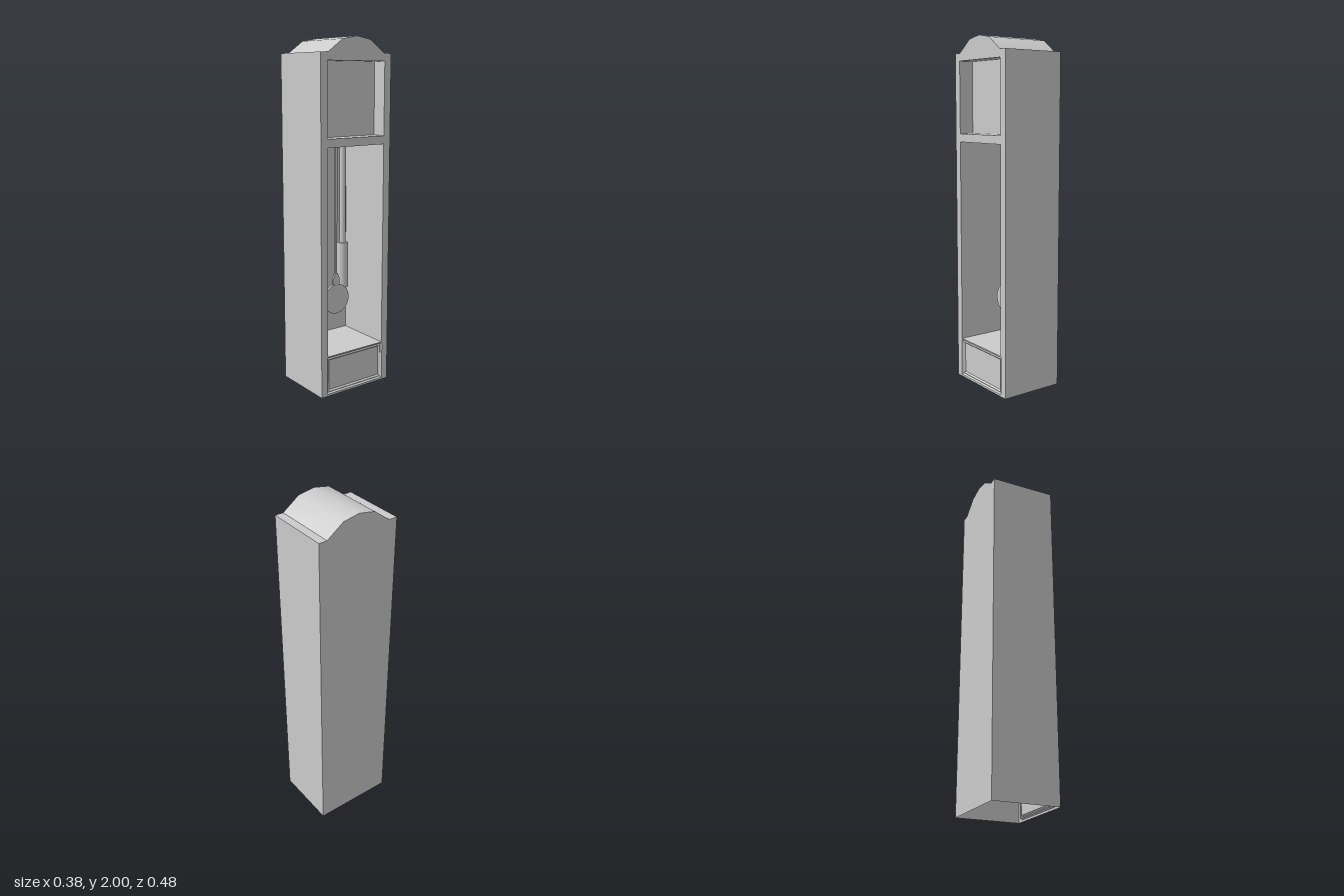
import * as THREE from 'three';
import { toCreasedNormals } from 'three/addons/utils/BufferGeometryUtils.js';

const material = new THREE.MeshStandardMaterial({ color: 0xcccccc, side: THREE.DoubleSide });
const HALF = 0.19; // half the cabinet depth; the dial side faces +x

// Cabinet outline as [u, y], with u running along -z; the bottom stays open
const outline = [
  [0.24, 0], [0.24, 1.913], [0.192, 1.913], [0.095, 1.983], [0, 2],
  [-0.095, 1.983], [-0.192, 1.913], [-0.24, 1.913], [-0.24, 0],
];

// Openings in the dial side
const dialHole = { u: 0.195, y0: 1.46, y1: 1.87 };
const caseHole = { u: 0.195, y0: 0.237, y1: 1.413 };
const panelHole = { u: 0.2, y0: 0.012, y1: 0.23 };

function add(group, name, geometry, x = 0, y = 0, z = 0) {
  const mesh = new THREE.Mesh(geometry, material);
  mesh.name = name;
  mesh.position.set(x, y, z);
  group.add(mesh);
  return mesh;
}

const corners = ({ u, y0, y1 }, inset = 0) => [
  [u - inset, y0 + inset], [u - inset, y1 - inset],
  [-u + inset, y1 - inset], [-u + inset, y0 + inset],
];
const toShape = (pts, Type = THREE.Shape) => new Type(pts.map(([u, y]) => new THREE.Vector2(u, y)));

// Flat sheet facing +x
function sheet(pts, x, holes = []) {
  const shape = toShape(pts);
  shape.holes = holes.map((h) => toShape(corners(h), THREE.Path));
  return new THREE.ShapeGeometry(shape).rotateY(Math.PI / 2).translate(x, 0, 0);
}

// Walls joining successive rings of [u, y] points, each ring at its own x
function walls(rings, closed) {
  const pos = [];
  const index = [];
  const n = rings[0].pts.length;
  rings.forEach(({ pts, x }) => pts.forEach(([u, y]) => pos.push(x, y, -u)));
  for (let r = 0; r < rings.length - 1; r++) {
    for (let i = 0; i < (closed ? n : n - 1); i++) {
      const a = r * n + i;
      const b = r * n + ((i + 1) % n);
      index.push(a, b, b + n, a, b + n, a + n);
    }
  }
  const g = new THREE.BufferGeometry();
  g.setAttribute('position', new THREE.Float32BufferAttribute(pos, 3));
  g.setIndex(index);
  return toCreasedNormals(g, 0.55);
}

// Recess lined with walls and closed by a back sheet
function recess(group, name, hole, backX) {
  const pts = corners(hole);
  add(group, name + 'Walls', walls([{ pts, x: backX }, { pts, x: HALF }], true));
  add(group, name + 'Back', sheet(pts, backX));
}

// Cylinder standing between two heights
const rod = (r, y0, y1, sides = 24) =>
  new THREE.CylinderGeometry(r, r, y1 - y0, sides).translate(0, (y0 + y1) / 2, 0);

export function createModel() {
  const model = new THREE.Group();
  model.name = 'longcaseClock';

  // Outer cabinet with its arched top
  const cabinet = new THREE.Group();
  cabinet.name = 'cabinet';
  model.add(cabinet);
  // Walk the outline backwards so the walls face outward
  const path = [...outline].reverse();
  add(cabinet, 'sidesAndArchedTop', walls([{ pts: path, x: HALF }, { pts: path, x: -HALF }].reverse(), false));
  add(cabinet, 'dialSide', sheet(outline, HALF, [dialHole, caseHole, panelHole]));
  add(cabinet, 'backPanel', sheet(outline.map(([u, y]) => [-u, y]), 0).rotateY(Math.PI).translate(-HALF, 0, 0));

  // Dial niche and pendulum case
  recess(cabinet, 'dialNiche', dialHole, 0.103);
  recess(cabinet, 'pendulumCase', caseHole, -0.16);

  // Base panel with a stepped moulding around it
  const moulding = [[0, HALF], [0.006, 0.179], [0.012, 0.185], [0.02, 0.176]];
  add(cabinet, 'basePanelMoulding',
    walls(moulding.map(([inset, x]) => ({ pts: corners(panelHole, inset), x })).reverse(), true));
  add(cabinet, 'basePanel', sheet(corners(panelHole, 0.02), 0.176));

  // Two hanging weights
  [[0.085, 0.67, 0.953], [-0.095, 0.54, 0.815]].forEach(([z, low, high], i) => {
    const weight = new THREE.Group();
    weight.name = i ? 'rightWeight' : 'leftWeight';
    weight.position.set(-0.06, 0, z);
    add(weight, 'weightRod', rod(0.018, high, caseHole.y1));
    add(weight, 'weightCylinder', rod(0.034, low, high));
    model.add(weight);
  });

  // Pendulum: thin rod, tapered collar and round bob
  const pendulum = new THREE.Group();
  pendulum.name = 'pendulum';
  add(pendulum, 'pendulumRod', new THREE.BoxGeometry(0.008, 0.765, 0.014), 0, 1.03, 0);
  const collar = toShape([
    [0.024, 0.57], [0.024, 0.615], [0.01, 0.65], [-0.01, 0.65], [-0.024, 0.615], [-0.024, 0.57],
  ]);
  add(pendulum, 'pendulumCollar',
    new THREE.ExtrudeGeometry(collar, { depth: 0.012, bevelEnabled: false })
      .translate(0, 0, -0.006).rotateY(Math.PI / 2));
  add(pendulum, 'pendulumBob',
    new THREE.CylinderGeometry(0.089, 0.089, 0.016, 40).rotateZ(Math.PI / 2), 0, 0.494, 0);
  model.add(pendulum);

  return model;
}
